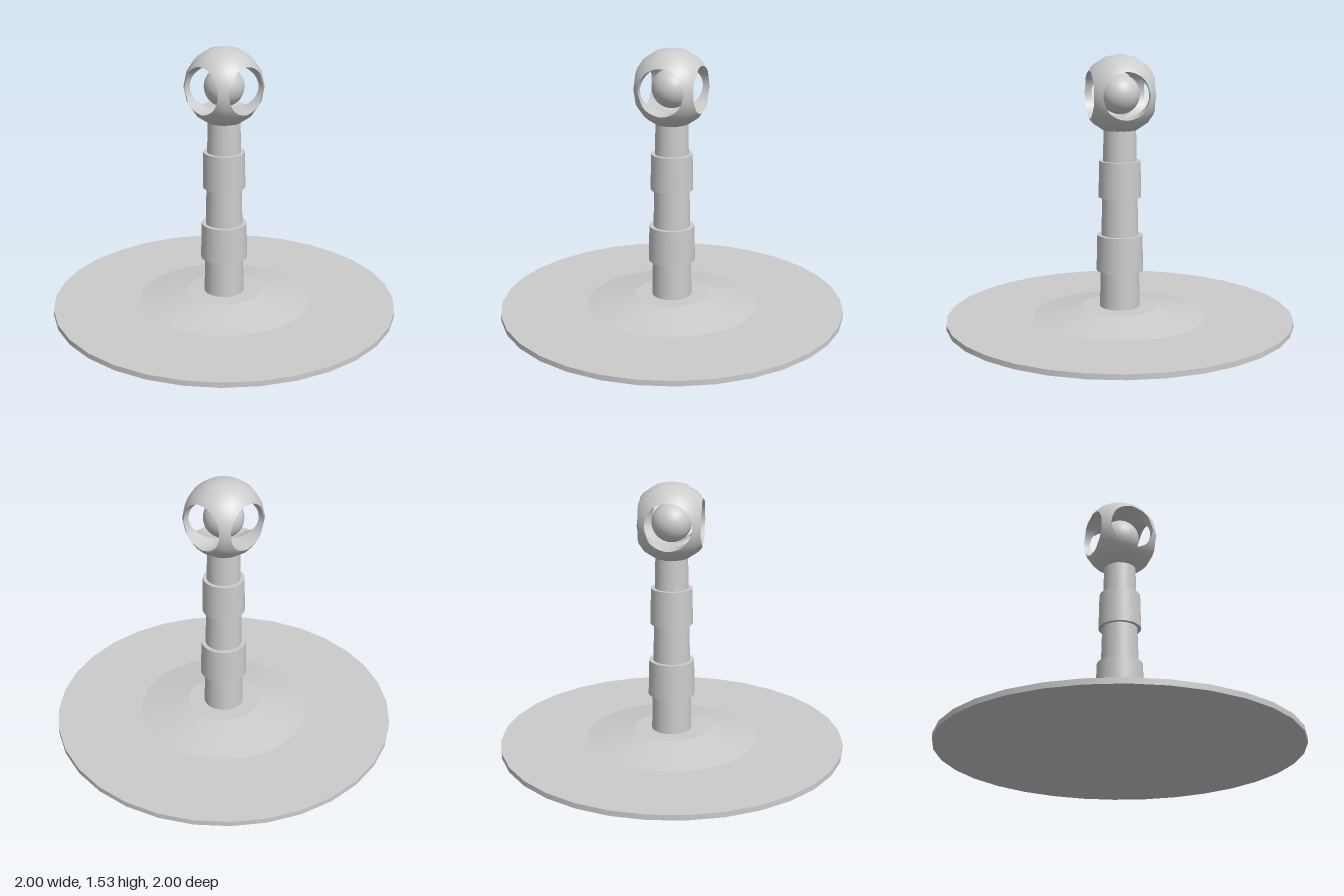
import * as THREE from 'three';

const material = new THREE.MeshStandardMaterial({ color: 0xcccccc });
const HEAD_Y = 1.31, HEAD_R = 0.225, BORE_R = 0.135;

// Upright cylinder or cone between two heights
function column(name, rBottom, rTop, y0, y1) {
  const mesh = new THREE.Mesh(new THREE.CylinderGeometry(rTop, rBottom, y1 - y0, 32), material);
  mesh.name = name;
  mesh.position.y = (y0 + y1) / 2;
  return mesh;
}

// Grid surface around the z axis; fn(phi, t) gives a point, normalOf(p) its normal
function ringSurface(fn, normalOf, rows, cols = 48) {
  const pos = [], nor = [], index = [];
  for (let i = 0; i <= cols; i++) {
    for (let j = 0; j <= rows; j++) {
      const p = fn((i / cols) * Math.PI * 2, j / rows);
      pos.push(...p.toArray());
      nor.push(...normalOf(p).normalize().toArray());
      if (i < cols && j < rows) {
        const a = i * (rows + 1) + j, b = a + rows + 1;
        index.push(a, a + 1, b + 1, a, b + 1, b);
      }
    }
  }
  const g = new THREE.BufferGeometry();
  g.setAttribute('position', new THREE.Float32BufferAttribute(pos, 3));
  g.setAttribute('normal', new THREE.Float32BufferAttribute(nor, 3));
  g.setIndex(index);
  return g;
}

// Radius factor of a 16-sided polygon at an angle
function facet(angle) {
  const step = Math.PI / 8;
  const offset = angle - Math.floor(angle / step) * step - step / 2;
  return Math.cos(step / 2) / Math.cos(offset);
}

// Point on the faceted sphere, beta measured from the z axis
function spherePoint(phi, beta) {
  const d = new THREE.Vector3(Math.sin(beta) * Math.cos(phi), Math.sin(beta) * Math.sin(phi), Math.cos(beta));
  const r = HEAD_R * facet(Math.asin(THREE.MathUtils.clamp(d.y, -1, 1)));
  const side = r * facet(Math.atan2(d.x, d.z));
  return d.set(d.x * side, d.y * r, d.z * side);
}

// Sphere pierced by two crossing round bores, made of four equal quarters
function head() {
  const group = new THREE.Group();
  group.name = 'piercedHead';
  group.position.y = HEAD_Y;
  const rim = Math.asin(BORE_R / HEAD_R);

  const shell = ringSurface((phi, t) => {
    const edge = Math.atan2(1, Math.abs(Math.cos(phi)));
    return spherePoint(phi, rim + (edge - rim) * t);
  }, p => p.clone(), 10);

  const bore = ringSurface((phi, t) => {
    const inner = new THREE.Vector3(Math.cos(phi), Math.sin(phi), Math.abs(Math.cos(phi)));
    return inner.multiplyScalar(BORE_R).lerp(spherePoint(phi, rim), t);
  }, p => new THREE.Vector3(-p.x, -p.y, 0), 2);

  for (let k = 0; k < 4; k++) {
    const quarter = new THREE.Group();
    quarter.name = 'headQuarter';
    quarter.rotation.y = (k * Math.PI) / 2;
    const outside = new THREE.Mesh(shell, material);
    outside.name = 'headShell';
    const inside = new THREE.Mesh(bore, material);
    inside.name = 'headBore';
    quarter.add(outside, inside);
    group.add(quarter);
  }

  const ball = new THREE.Mesh(new THREE.SphereGeometry(0.113, 32, 20), material);
  ball.name = 'innerBall';
  group.add(ball);
  return group;
}

export function createModel() {
  const model = new THREE.Group();
  model.name = 'postWithPiercedHead';
  model.add(
    column('baseDisc', 1, 1, 0, 0.03),
    column('baseCone', 0.5, 0.215, 0.03, 0.083),
    column('post', 0.116, 0.092, 0.08, 1.12),
    column('lowerCollar', 0.135, 0.13, 0.297, 0.505),
    column('upperCollar', 0.122, 0.118, 0.725, 0.933),
    head(),
  );
  return model;
}
